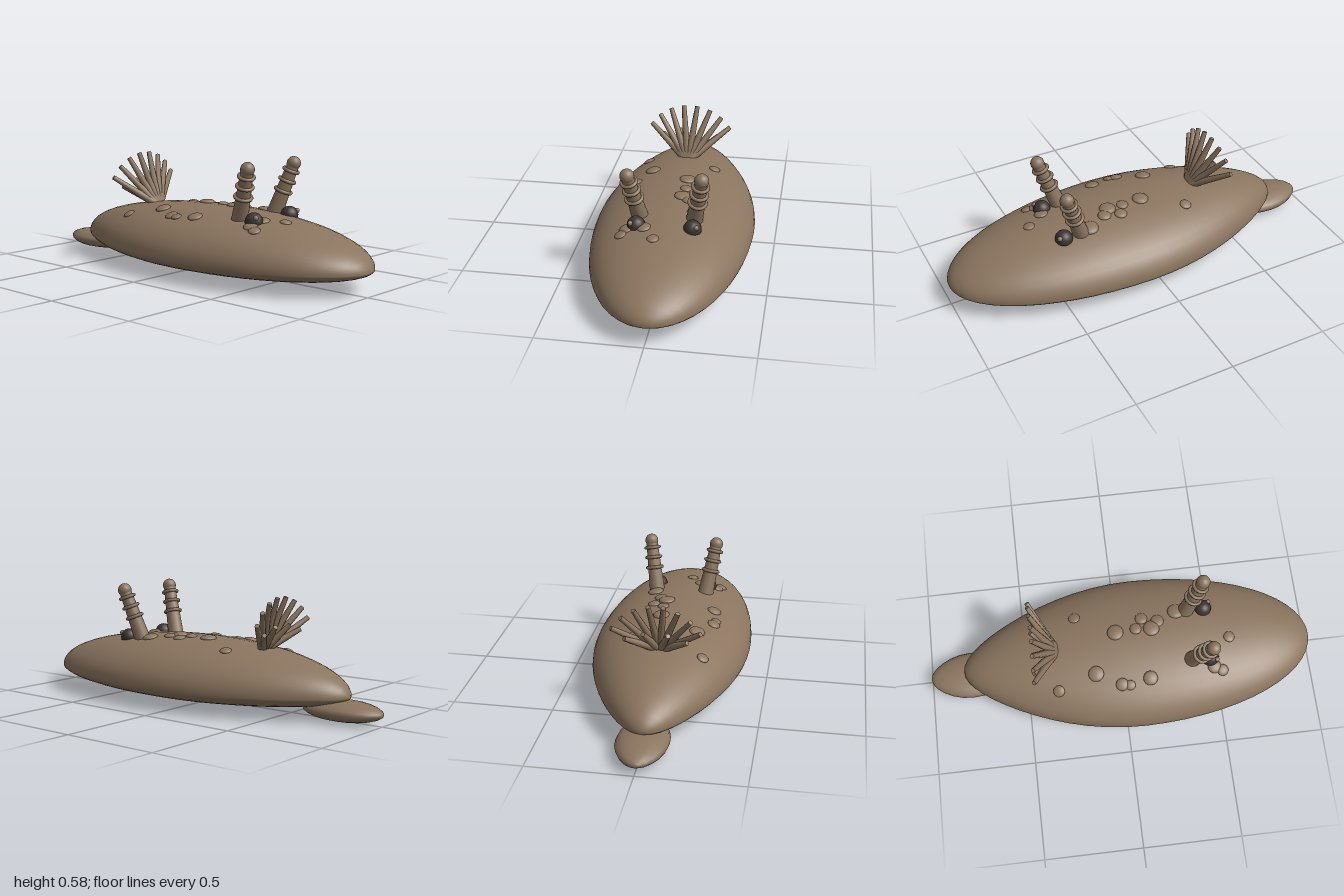
import * as THREE from 'three';
import { mergeVertices } from 'three/addons/utils/BufferGeometryUtils.js';

const UP = new THREE.Vector3(0, 1, 0);
const v3 = (x, y, z) => new THREE.Vector3(x, y, z);

// Body: half width, height above and below the widest line, half length, centre
const BODY = { w: 0.4, up: 0.218, down: 0.093, len: 0.91, y: 0.113, z: 0.09 };
const taper = s => (s < 0 ? 1 - 0.3 * s * s : 1);

// Height of the back at a given x, z
function backHeight(x, z) {
  const s = (z - BODY.z) / BODY.len;
  const u = x / (BODY.w * taper(s));
  return BODY.y + BODY.up * Math.sqrt(Math.max(0, 1 - s * s - u * u));
}

// Outward direction of the back at a given x, z
function backNormal(x, z) {
  const e = 0.005;
  return v3(
    backHeight(x - e, z) - backHeight(x + e, z), 2 * e,
    backHeight(x, z - e) - backHeight(x, z + e)
  ).normalize();
}

// Unit sphere with its poles on z, reshaped by a rule and smoothed
function shapedSphere(around, along, rule) {
  let g = new THREE.SphereGeometry(1, around, along).rotateX(Math.PI / 2);
  g.deleteAttribute('uv');
  g.deleteAttribute('normal');
  g = mergeVertices(g, 1e-4);
  const p = g.attributes.position;
  for (let i = 0; i < p.count; i++) {
    p.setXYZ(i, ...rule(p.getX(i), p.getY(i), p.getZ(i)));
  }
  g.computeVertexNormals();
  return g;
}

export function createModel() {
  const skin = new THREE.MeshStandardMaterial({ color: 0x8b755f });
  skin.name = 'brown skin';
  const dark = new THREE.MeshStandardMaterial({ color: 0x3d3434 });
  dark.name = 'dark eye';

  const model = new THREE.Group();
  model.name = 'seaSlug';

  function add(parent, name, geometry, material, position) {
    const mesh = new THREE.Mesh(geometry, material);
    mesh.name = name;
    if (position) mesh.position.copy(position);
    parent.add(mesh);
    return mesh;
  }

  // Domed body with a flatter sole and a narrowing rear
  add(model, 'body', shapedSphere(40, 28, (x, y, z) => [
    x * BODY.w * taper(z),
    BODY.y + y * (y > 0 ? BODY.up : BODY.down),
    BODY.z + z * BODY.len,
  ]), skin);

  // Flat tail tucked below the rear
  add(model, 'tail', shapedSphere(16, 12, (x, y, z) => [
    x * 0.125 * (z < 0 ? 1 - 0.15 * z * z : 1),
    0.053 + y * 0.05,
    -0.79 + z * 0.21,
  ]), skin);

  // Ringed stalks and eyes, one of each per side
  for (const side of [-1, 1]) {
    const stalk = new THREE.Group();
    stalk.name = side > 0 ? 'leftStalk' : 'rightStalk';
    const base = v3(side * 0.128, 0.28, 0.345);
    const tip = v3(side * 0.175, 0.553, 0.435);
    const axis = tip.clone().sub(base);
    const length = axis.length();
    stalk.position.copy(base);
    stalk.quaternion.setFromUnitVectors(UP, axis.normalize());
    const shaft = new THREE.CylinderGeometry(0.03, 0.042, length, 16);
    add(stalk, 'stalkShaft', shaft, skin, v3(0, length / 2, 0));
    for (const t of [0.5, 0.69, 0.87]) {
      const ring = new THREE.TorusGeometry(0.045 - 0.01 * t, 0.009, 8, 20).rotateX(Math.PI / 2);
      add(stalk, 'stalkRing', ring, skin, v3(0, length * t, 0));
    }
    add(stalk, 'stalkKnob', new THREE.SphereGeometry(0.035, 16, 12), skin, v3(0, length, 0));
    model.add(stalk);

    add(model, 'eye', new THREE.SphereGeometry(0.044, 16, 12), dark, v3(side * 0.135, 0.303, 0.443));
    add(model, 'eyeSpot', new THREE.SphereGeometry(0.013, 10, 8), skin, v3(side * 0.157, 0.325, 0.473));
  }

  // Fan of tapering gills leaning back
  const gills = new THREE.Group();
  gills.name = 'gillFan';
  function gill(tip) {
    const base = v3(tip.x * 0.08, 0.295, -0.335);
    const dir = tip.clone().sub(base);
    const length = dir.length();
    const mesh = add(gills, 'gill', new THREE.CylinderGeometry(0.012, 0.021, length, 8),
      skin, base.add(tip).multiplyScalar(0.5));
    mesh.quaternion.setFromUnitVectors(UP, dir.normalize());
  }
  for (let i = 0; i < 8; i++) {
    const a = (i - 3.5) * 0.29;
    gill(v3(Math.sin(a) * 0.25, 0.31 + Math.cos(a) * 0.25, -0.435 - 0.015 * Math.abs(Math.sin(a))));
  }
  for (const side of [-1, 1]) {
    gill(v3(side * 0.15, 0.39, -0.445));
    gill(v3(side * 0.06, 0.42, -0.445));
  }
  model.add(gills);

  // Flattened warts on the back: x, z, radius
  const warts = [
    [-0.21, -0.335, 0.03], [0.16, -0.22, 0.03], [-0.155, -0.14, 0.04],
    [-0.222, -0.015, 0.033], [-0.23, 0.025, 0.026], [-0.207, 0.13, 0.037],
    [0.046, -0.02, 0.042], [0.053, 0.085, 0.03], [0.107, 0.12, 0.032],
    [0.047, 0.165, 0.042], [0.085, 0.2, 0.034], [0.13, 0.3, 0.042],
    [-0.18, 0.46, 0.035], [-0.095, 0.465, 0.035], [-0.2, 0.5, 0.03],
    [-0.035, 0.555, 0.029],
  ];
  for (const [x, z, r] of warts) {
    const wart = add(model, 'wart', new THREE.SphereGeometry(r, 14, 10), skin, v3(x, backHeight(x, z), z));
    wart.quaternion.setFromUnitVectors(UP, backNormal(x, z));
    wart.scale.y = 0.38;
  }

  return model;
}
